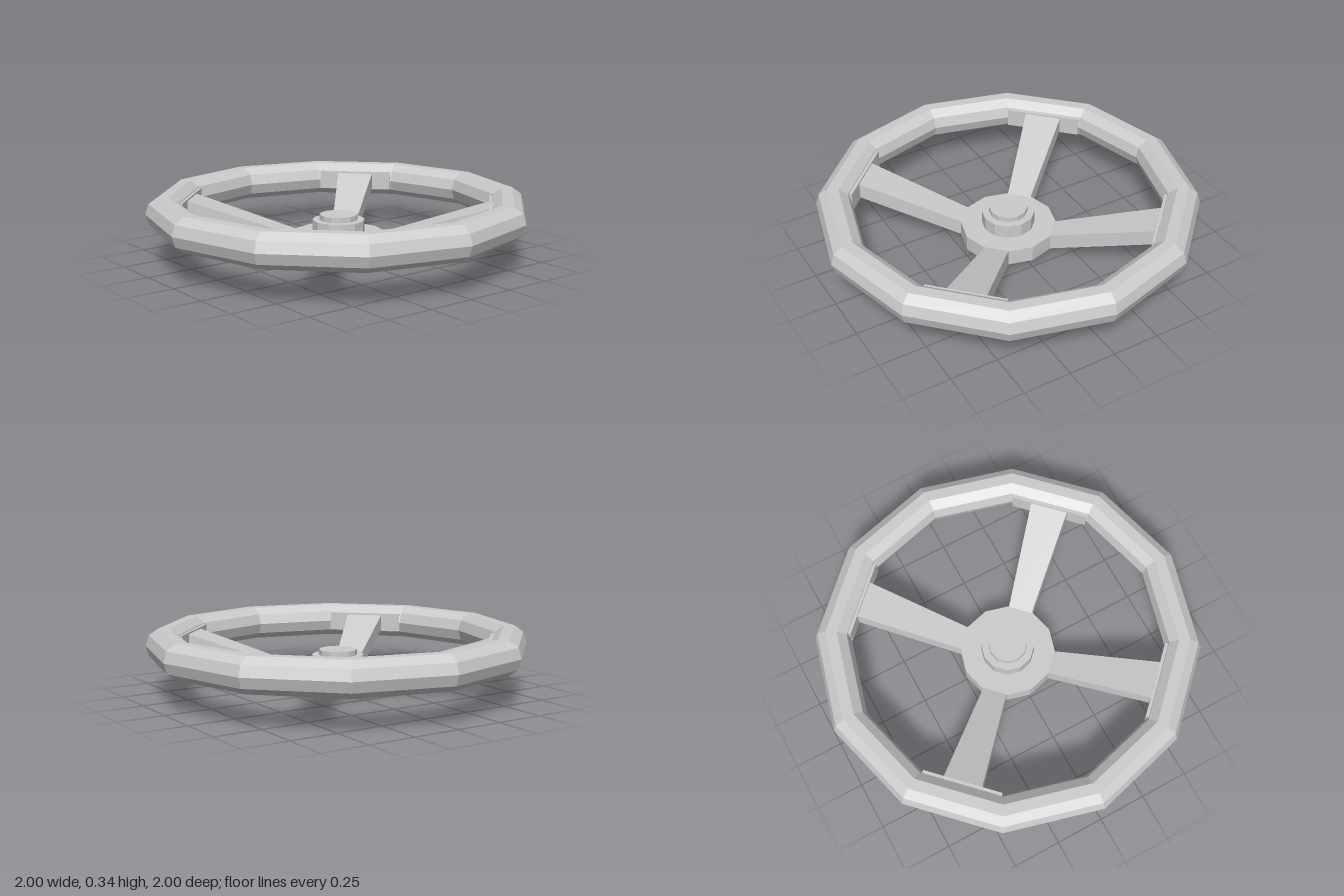
import * as THREE from 'three';

const material = new THREE.MeshStandardMaterial({ color: 0xcccccc, flatShading: true });

function add(group, name, geometry, y = 0) {
  const mesh = new THREE.Mesh(geometry, material);
  mesh.name = name;
  mesh.position.y = y;
  group.add(mesh);
  return mesh;
}

// Beam along +z whose width and height shift linearly from the hub to the rim
function spokeGeometry(inner, outer) {
  const g = new THREE.BoxGeometry(1, 1, 1);
  const p = g.attributes.position;
  for (let i = 0; i < p.count; i++) {
    const end = p.getZ(i) > 0 ? outer : inner;
    p.setXYZ(i, p.getX(i) * end.width, p.getY(i) > 0 ? end.top : end.bottom, end.r);
  }
  g.computeVertexNormals();
  return g;
}

export function createModel() {
  const wheel = new THREE.Group();
  wheel.name = 'handwheel';

  // Twelve-segment rim with a ten-sided section
  const rim = new THREE.TorusGeometry(0.906, 0.094, 10, 12);
  rim.rotateX(Math.PI / 2);
  add(wheel, 'rim', rim, 0.255);

  // Hub disc, turned from a closed profile with a shallow recess underneath
  const profile = [[0, 0.06], [0.213, 0.06], [0.213, 0.042], [0.25, 0.042], [0.25, 0.128], [0, 0.128]]
    .map(([r, y]) => new THREE.Vector2(r, y));
  add(wheel, 'hubDisc', new THREE.LatheGeometry(profile, 12));

  // Stacked bosses on the axis: name, radius, bottom, top
  for (const [name, r, y0, y1] of [
    ['lowerBoss', 0.125, 0, 0.065],
    ['upperBoss', 0.138, 0.12, 0.2],
    ['stemCap', 0.1, 0.19, 0.228],
  ]) add(wheel, name, new THREE.CylinderGeometry(r, r, y1 - y0, 12), (y0 + y1) / 2);

  // Four rising spokes, each meeting a flat pad inside the rim
  const spoke = spokeGeometry(
    { r: 0.235, width: 0.126, bottom: 0.042, top: 0.127 },
    { r: 0.83, width: 0.205, bottom: 0.225, top: 0.31 });
  for (let i = 0; i < 4; i++) {
    const arm = new THREE.Group();
    arm.name = 'spokeArm';
    arm.rotation.y = Math.PI / 4 + i * Math.PI / 2;
    add(arm, 'spoke', spoke);
    add(arm, 'rimPad', new THREE.BoxGeometry(0.41, 0.1, 0.05), 0.255).position.z = 0.809;
    wheel.add(arm);
  }
  return wheel;
}
